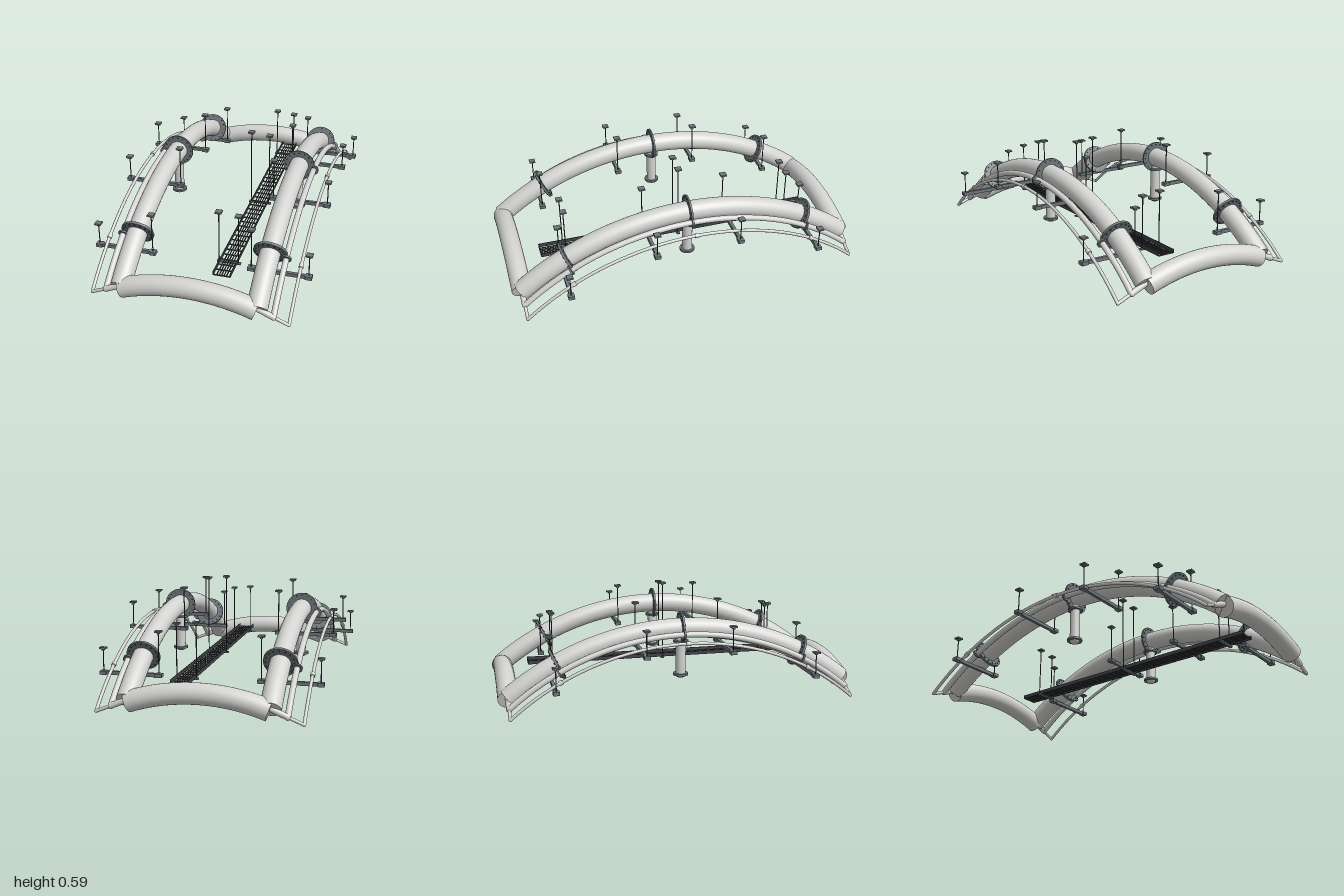
import * as THREE from 'three';

const mat = (name, color) => {
  const m = new THREE.MeshStandardMaterial({ color });
  m.name = name;
  return m;
};

// Circular arch: rises to crown in the middle, drops to foot at both ends
class Arch extends THREE.Curve {
  constructor(half, crown, foot, place) {
    super();
    const s = crown - foot;
    this.R = (half * half + s * s) / (2 * s);
    this.a = Math.asin(half / this.R);
    this.crown = crown;
    this.place = place;
  }
  getPoint(t) {
    const a = (2 * t - 1) * this.a;
    return this.place(this.R * Math.sin(a), this.crown - this.R * (1 - Math.cos(a)));
  }
  at(u) { return (Math.asin(u / this.R) / this.a + 1) / 2; }
}

export function createModel() {
  const root = new THREE.Group();
  root.name = 'archedPipeRack';
  const pipeMat = mat('pale pipe', 0xd3d3d1);
  const steel = mat('grey steel', 0x6d747a);
  const dark = mat('dark tray', 0x404247);
  const Y = new THREE.Vector3(0, 1, 0);

  const add = (name, geo, m, x = 0, y = 0, z = 0, parent = root) => {
    const mesh = new THREE.Mesh(geo, m);
    mesh.name = name;
    mesh.position.set(x, y, z);
    parent.add(mesh);
    return mesh;
  };
  const box = (name, w, h, d, m, x, y, z) => add(name, new THREE.BoxGeometry(w, h, d), m, x, y, z);
  const rod = (name, x, y0, y1, z, r, m) =>
    add(name, new THREE.CylinderGeometry(r, r, y1 - y0, 8), m, x, (y0 + y1) / 2, z);

  // Disc or collar set square to a curve
  const collar = (name, curve, t, r, thick, m) => {
    const p = curve.getPoint(t);
    const mesh = add(name, new THREE.CylinderGeometry(r, r, thick, 40), m, p.x, p.y, p.z);
    mesh.quaternion.setFromUnitVectors(Y, curve.getTangent(t));
    return mesh;
  };
  const pipe = (name, curve, r, seg = 48, sides = 28) => {
    add(name, new THREE.TubeGeometry(curve, seg, r, sides), pipeMat);
    for (const t of [0, 1]) collar(name + 'End', curve, t, r, 0.002, pipeMat);
  };

  // Bolted flange: disc with a ring of bolt heads
  const flange = (curve, u, r, thick) => {
    const disc = collar('flange', curve, curve.at(u), r, thick, steel);
    for (let i = 0; i < 16; i++) {
      const a = (i / 16) * Math.PI * 2;
      add('bolt', new THREE.CylinderGeometry(0.004, 0.004, thick + 0.008, 6), dark,
        Math.cos(a) * r * 0.86, 0, Math.sin(a) * r * 0.86, disc);
    }
  };

  // Hanger rod topped by a small square plate
  const hanger = (x, y0, y1, z) => {
    rod('hangerRod', x, y0, y1, z, 0.003, dark);
    box('hangerPlate', 0.035, 0.009, 0.035, steel, x, y1, z);
    box('hangerNut', 0.014, 0.008, 0.014, steel, x, y1 - 0.009, z);
  };

  for (const s of [-1, 1]) {
    // Long arched pipes on each side
    const along = (x) => (u, y) => new THREE.Vector3(s * x, y, u);
    const main = new Arch(0.945, 0.415, 0.08, along(0.365));
    const middle = new Arch(0.945, 0.395, 0.045, along(0.45));
    const outer = new Arch(0.945, 0.365, 0.013, along(0.53));
    pipe('mainPipe', main, 0.055);
    pipe('middlePipe', middle, 0.016, 48, 16);
    pipe('outerPipe', outer, 0.009, 48, 12);

    for (const u of [-0.68, 0, 0.68]) {
      flange(main, u, 0.09, u ? 0.014 : 0.01);
      collar('middleFlange', middle, middle.at(u), 0.028, 0.01, steel);
      collar('outerCollar', outer, outer.at(u), 0.013, 0.022, pipeMat);
    }

    // Drop pipe under the crown
    rod('dropPipe', s * 0.365, 0.155, 0.385, 0, 0.028, pipeMat).geometry =
      new THREE.CylinderGeometry(0.028, 0.028, 0.23, 24);
    for (const y of [0.155, 0.342])
      add('dropFlange', new THREE.CylinderGeometry(0.042, 0.042, 0.012, 28), steel, s * 0.365, y, 0);
    const dome = add('dropCap', new THREE.SphereGeometry(0.028, 24, 8, 0, Math.PI * 2, Math.PI / 2, Math.PI / 2),
      pipeMat, s * 0.365, 0.15, 0);
    dome.scale.y = 0.6;

    // Hung beams carrying the pipes
    for (const z of [-0.71, -0.235, 0.235, 0.71]) {
      const high = Math.abs(z) < 0.5;
      const y = high ? 0.315 : 0.155;
      box('supportBeam', 0.34, 0.02, 0.018, steel, s * 0.425, y, z);
      for (const x of [0.577, 0.272]) box('beamEnd', 0.036, 0.02, 0.034, steel, s * x, y, z);
      hanger(s * 0.577, y, high ? 0.456 : 0.287, z);
      hanger(s * 0.272, y, high ? 0.548 : 0.388, z);
    }

    // Arched cross pipe at this end
    const cross = new Arch(0.36, 0.135, 0.073, (u, y) => new THREE.Vector3(u, y, s * 0.945));
    pipe('crossPipe', cross, 0.055);

    // Branch pipes joining the corners
    for (const e of [-1, 1]) {
      const z = e * 0.945;
      const v = (x, y) => new THREE.Vector3(s * x, y, z);
      pipe('cornerBranch', new THREE.LineCurve3(v(0.36, 0.085), v(0.45, 0.046)), 0.016, 1, 16);
      pipe('outerBranch', new THREE.LineCurve3(v(0.44, 0.05), v(0.53, 0.013)), 0.009, 1, 12);
      for (const [x, y, r] of [[0.45, 0.045, 0.016], [0.53, 0.013, 0.009]])
        add('elbow', new THREE.SphereGeometry(r, 16, 10), pipeMat, s * x, y, z);
    }
  }

  // Ladder tray, off centre
  const tx = 0.137;
  for (const x of [-0.046, 0.046]) box('trayRail', 0.004, 0.022, 1.6, dark, tx + x, 0.147, 0);
  for (const x of [-0.026, -0.013, 0, 0.013, 0.026]) box('trayWire', 0.005, 0.005, 1.6, dark, tx + x, 0.142, 0);
  for (let i = 0; i <= 32; i++) box('trayRung', 0.094, 0.005, 0.007, dark, tx, 0.139, -0.797 + i * 1.594 / 32);

  // Tray hangers with a bearer under each pair
  for (const z of [-0.66, 0, 0.66]) {
    const top = z ? 0.435 : 0.588;
    box('trayBearer', 0.13, 0.008, 0.018, steel, tx, 0.135, z);
    hanger(0.083, 0.135, top, z);
    hanger(0.19, 0.135, top - 0.01, z);
  }
  return root;
}
